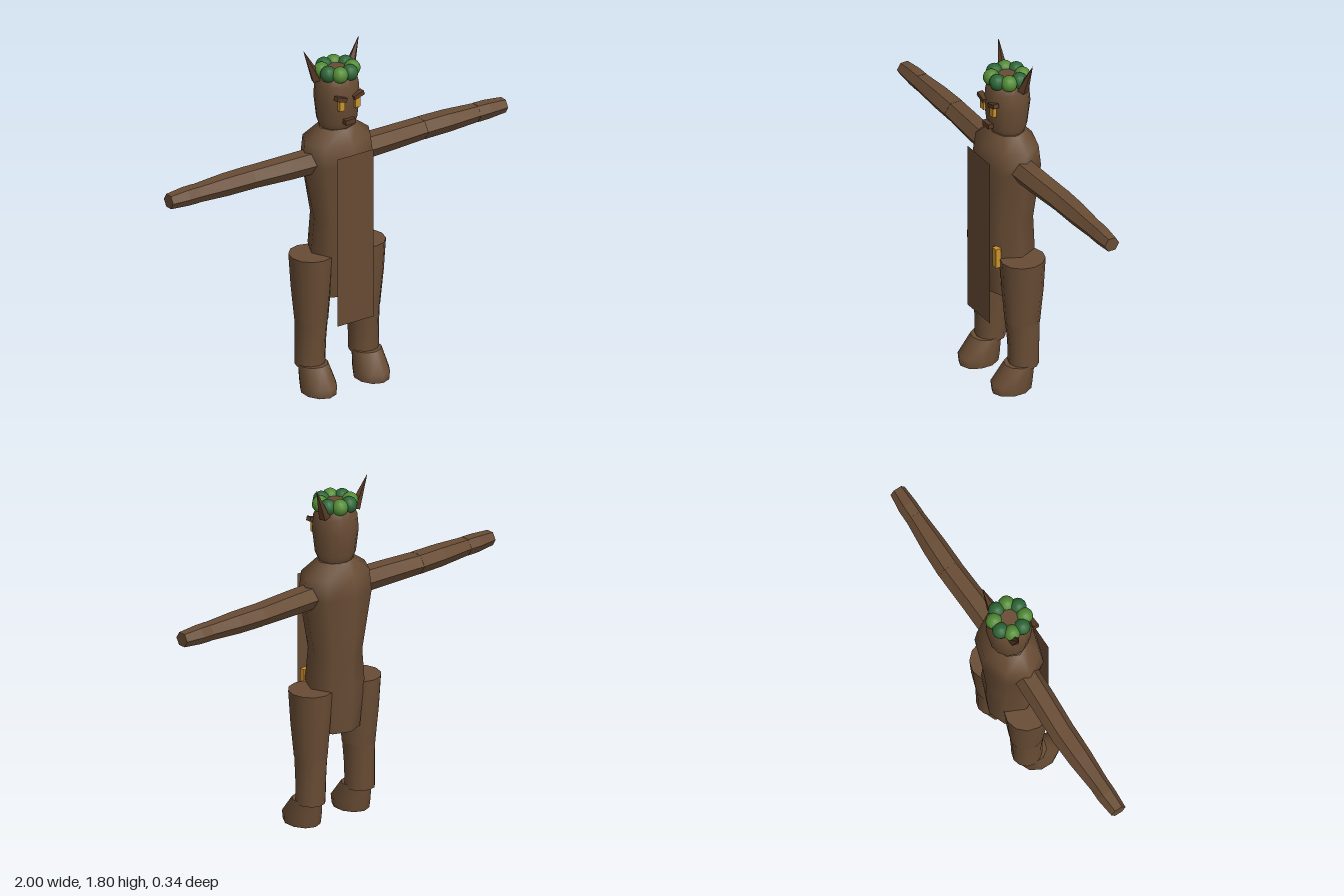
import * as THREE from 'three';

const mat = (name, color, extra = {}) => {
  const m = new THREE.MeshStandardMaterial({ color, ...extra });
  m.name = name;
  return m;
};

// Stacks elliptical rings [y, xc, zc, rx, rz] from bottom to top and closes both ends.
function loft(rings, n) {
  const pos = [], idx = [];
  const addRing = ([y, xc, zc, rx, rz]) => {
    for (let j = 0; j < n; j++) {
      const a = (j / n) * Math.PI * 2;
      pos.push(xc + Math.sin(a) * rx, y, zc + Math.cos(a) * rz);
    }
  };
  rings.forEach(addRing);
  for (let i = 0; i < rings.length - 1; i++) {
    for (let j = 0; j < n; j++) {
      const k = (j + 1) % n, a = i * n, b = a + n;
      idx.push(a + j, a + k, b + k, a + j, b + k, b + j);
    }
  }
  // Caps have their own corners so the rims stay sharp
  for (const [ring, up] of [[rings[0], false], [rings[rings.length - 1], true]]) {
    const s = pos.length / 3;
    addRing(ring);
    for (let j = 1; j < n - 1; j++) {
      if (up) idx.push(s, s + j, s + j + 1);
      else idx.push(s, s + j + 1, s + j);
    }
  }
  const g = new THREE.BufferGeometry();
  g.setAttribute('position', new THREE.Float32BufferAttribute(pos, 3));
  g.setIndex(idx);
  g.computeVertexNormals();
  return g;
}

export function createModel() {
  const model = new THREE.Group();
  const bark = mat('bark brown', 0x684c34);
  const barkFlat = mat('bark brown faceted', 0x684c34, { flatShading: true });
  const cloth = mat('cloth brown', 0x664a34, { side: THREE.DoubleSide });
  const dark = mat('dark brown', 0x573925, { flatShading: true });
  const gold = mat('amber', 0xcb922a);
  const leafDark = mat('dark leaf green', 0x2c6636);
  const leafLight = mat('light leaf green', 0x528a34);

  const add = (name, geo, material, parent = model) => {
    const m = new THREE.Mesh(geo, material);
    m.name = name;
    parent.add(m);
    return m;
  };
  const box = (name, w, h, d, x, y, z, material) => {
    const m = add(name, new THREE.BoxGeometry(w, h, d), material);
    m.position.set(x, y, z);
    return m;
  };

  // Torso with hips and narrow neck
  add('torso', loft([
    [0.49, 0, -0.012, 0.125, 0.113],
    [0.74, 0, -0.005, 0.155, 0.137],
    [0.90, 0, -0.008, 0.135, 0.133],
    [1.21, 0, -0.008, 0.2, 0.158],
    [1.32, 0, -0.01, 0.19, 0.142],
    [1.385, 0, -0.01, 0.1, 0.085],
  ], 8), bark);

  // Hanging front cloth
  add('frontCloth', new THREE.PlaneGeometry(0.215, 0.905), cloth).position.set(0, 0.822, 0.152);

  // Clasp on the hip
  box('hipClasp', 0.035, 0.105, 0.03, 0.097, 0.73, 0.107, gold);

  // Head
  add('head', loft([
    [1.375, 0, -0.012, 0.085, 0.075],
    [1.42, 0, -0.01, 0.102, 0.1],
    [1.54, 0, -0.01, 0.115, 0.115],
    [1.62, 0, -0.01, 0.109, 0.108],
    [1.67, 0, -0.01, 0.085, 0.085],
    [1.695, 0, -0.01, 0.04, 0.04],
  ], 14), bark);
  box('mouth', 0.058, 0.026, 0.03, 0, 1.437, 0.1, dark);

  // Leaf wreath
  const wreath = new THREE.Group();
  wreath.name = 'leafWreath';
  model.add(wreath);
  const leaf = new THREE.SphereGeometry(0.042, 12, 8);
  for (let i = 0; i < 8; i++) {
    const a = ((i + 0.5) / 8) * Math.PI * 2;
    add('leafBall', leaf, i % 2 ? leafLight : leafDark, wreath)
      .position.set(Math.sin(a) * 0.077, 1.679, -0.008 + Math.cos(a) * 0.077);
  }

  for (const s of [1, -1]) {
    const side = s > 0 ? 'left' : 'right';

    // Eyes and slanted brows
    box(side + 'Eye', 0.03, 0.052, 0.02, s * 0.046, 1.53, 0.098, gold);
    box(side + 'Brow', 0.06, 0.022, 0.03, s * 0.051, 1.568, 0.1, dark).rotation.z = s * 0.3;

    // Pointed horns leaning outwards
    const horn = add(side + 'Horn', new THREE.ConeGeometry(0.03, 0.18, 5), dark);
    horn.position.set(s * 0.131, 1.718, -0.05);
    horn.rotation.set(-0.1, 0, -s * 0.4);

    // Arms: upper arm, forearm and hand
    const arm = new THREE.Group();
    arm.name = side + 'Arm';
    arm.position.y = 1.219;
    model.add(arm);
    const pieces = {
      UpperArm: [[0.12, 0, -0.007, 0.065, 0.068], [0.3, 0, -0.012, 0.062, 0.067], [0.512, 0, -0.022, 0.056, 0.065]],
      Forearm: [[0.512, 0, -0.022, 0.057, 0.066], [0.66, 0, -0.021, 0.056, 0.062], [0.84, 0, -0.018, 0.047, 0.049]],
      Hand: [[0.835, 0, -0.018, 0.049, 0.05], [0.9, 0, -0.018, 0.048, 0.05], [1.0, 0, -0.015, 0.039, 0.041]],
    };
    for (const [name, rings] of Object.entries(pieces)) {
      add(side + name, loft(rings, 6).rotateZ(-s * Math.PI / 2), barkFlat, arm);
    }

    // Legs: open-stanced thigh, shin and sloping foot
    add(side + 'Thigh', loft([
      [0.37, s * 0.155, -0.005, 0.082, 0.09],
      [0.55, s * 0.157, -0.005, 0.098, 0.106],
      [0.722, s * 0.157, -0.005, 0.11, 0.115],
    ], 12), bark);
    add(side + 'Shin', loft([
      [0.125, s * 0.16, -0.008, 0.075, 0.077],
      [0.25, s * 0.158, -0.008, 0.076, 0.08],
      [0.372, s * 0.155, -0.005, 0.08, 0.088],
    ], 12), bark);
    add(side + 'Foot', loft([
      [0, s * 0.158, 0.06, 0.084, 0.105],
      [0.045, s * 0.158, 0.059, 0.088, 0.111],
      [0.14, s * 0.16, 0.017, 0.076, 0.077],
    ], 10), bark);
  }
  return model;
}
